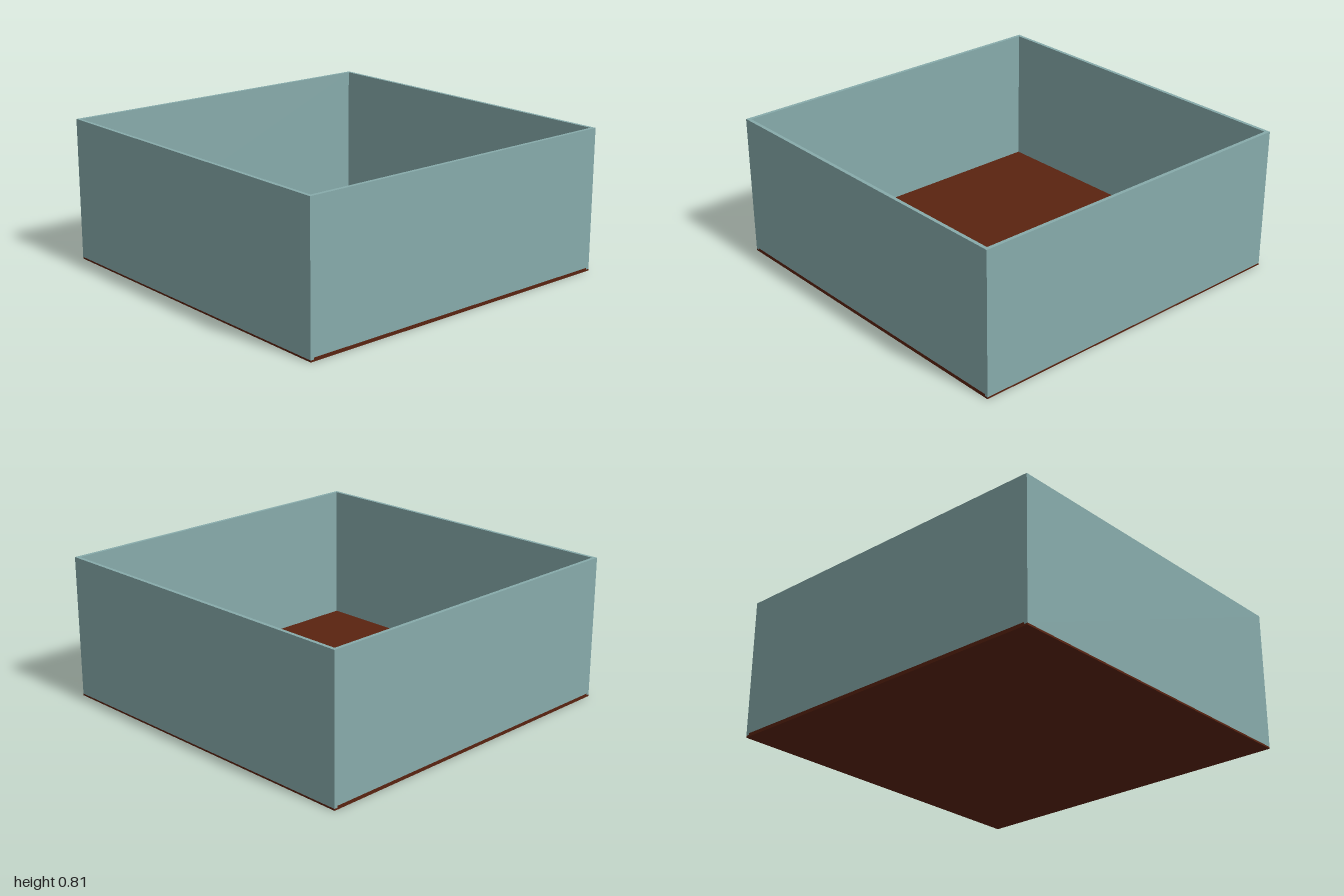
import * as THREE from 'three';

export function createModel() {
  const model = new THREE.Group();
  const wallPaint = new THREE.MeshStandardMaterial({ color: 0x87abab });
  wallPaint.name = 'dusty teal';
  const floorWood = new THREE.MeshStandardMaterial({ color: 0x5a2310 });
  floorWood.name = 'dark brown';

  const height = 0.81, t = 0.02, base = 0.01;

  // Box given by its size, its bottom height and its centre in x and z
  function addBox(name, material, w, h, d, x, bottom, z) {
    const mesh = new THREE.Mesh(new THREE.BoxGeometry(w, h, d), material);
    mesh.name = name;
    mesh.position.set(x, bottom + h / 2, z);
    model.add(mesh);
  }

  // Base plate, with a raised floor between the front and back walls
  addBox('basePlate', floorWood, 2, base, 2, 0, 0, 0);
  addBox('floor', floorWood, 2, t - base, 2 - 2 * t, 0, base, 0);

  // Front and back walls stand on the base, side walls on the floor
  for (const s of [1, -1]) {
    addBox(s > 0 ? 'frontWall' : 'backWall', wallPaint, 2, height - base, t, 0, base, s * (1 - t / 2));
    addBox(s > 0 ? 'leftWall' : 'rightWall', wallPaint, t, height - t, 2 - 2 * t, s * (1 - t / 2), t, 0);
  }
  return model;
}
